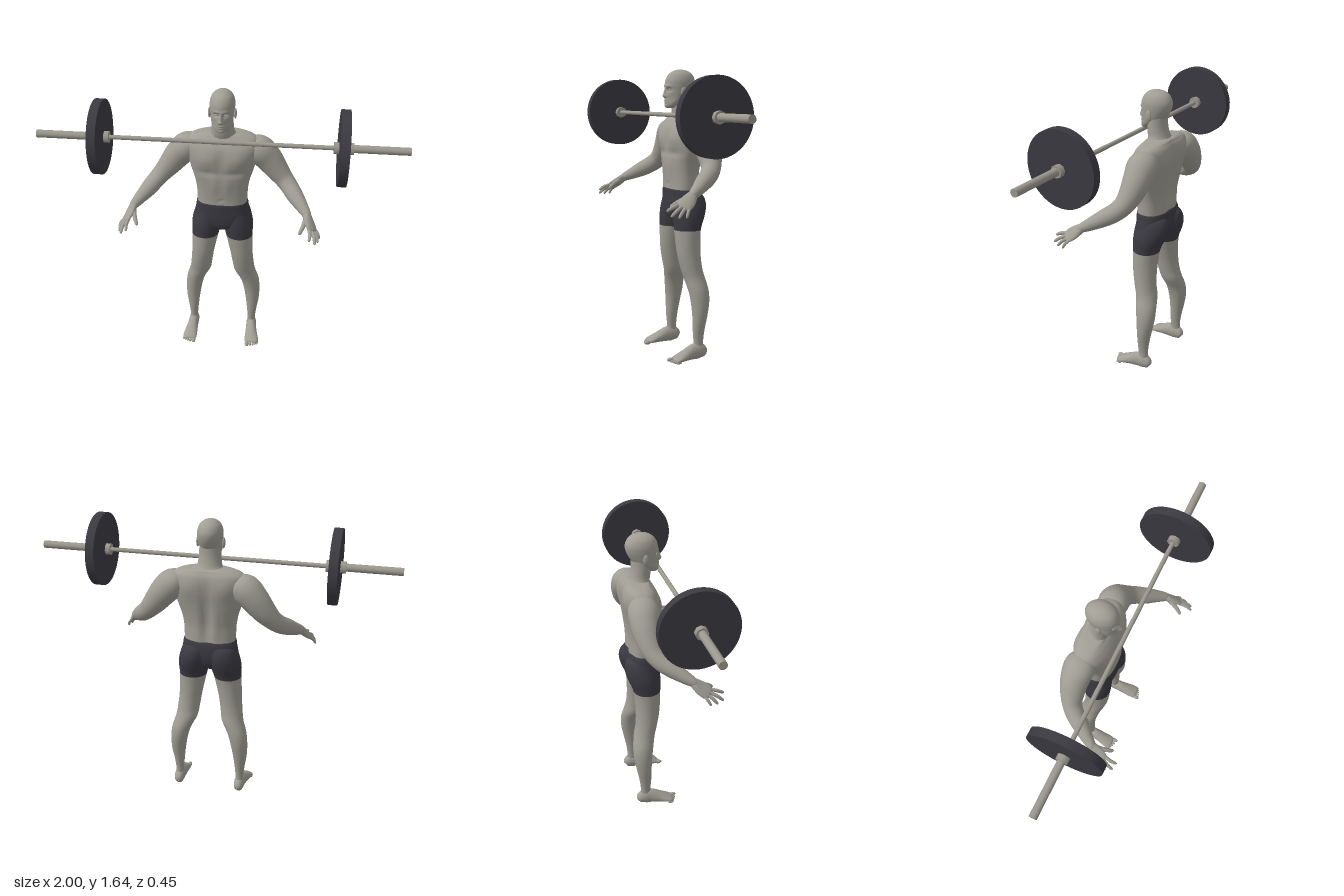
import * as THREE from 'three';

const skin = new THREE.MeshStandardMaterial({ name: 'skin', color: 0xa09e94 });
const cloth = new THREE.MeshStandardMaterial({ name: 'darkCloth', color: 0x3b3a42 });
const rubber = new THREE.MeshStandardMaterial({ name: 'darkRubber', color: 0x3b3a41 });
const steel = new THREE.MeshStandardMaterial({ name: 'steel', color: 0x9a978d });

// Smoothly interpolate a table of rows at position t (in row units)
function sample(rows, t) {
  const i = Math.min(Math.floor(t), rows.length - 2), f = t - i;
  const at = k => rows[Math.max(0, Math.min(rows.length - 1, k))];
  return rows[0].map((_, k) => {
    const a = at(i - 1)[k], b = at(i)[k], c = at(i + 1)[k], d = at(i + 2)[k];
    return b + 0.5 * f * (c - a + f * (2 * a - 5 * b + 4 * c - d + f * (3 * (b - c) + d - a)));
  });
}

// Closed skin over rings of points: ringPoint(i, angle) -> Vector3
function skinRings(count, segs, ringPoint) {
  const pos = [], idx = [];
  for (let i = 0; i <= count; i++) {
    for (let j = 0; j < segs; j++) pos.push(...ringPoint(i, (j / segs) * Math.PI * 2).toArray());
  }
  for (let i = 0; i < count; i++) {
    for (let j = 0; j < segs; j++) {
      const k = (j + 1) % segs, a = i * segs + j, b = i * segs + k;
      idx.push(a, a + segs, b, b, a + segs, b + segs);
    }
  }
  const geo = new THREE.BufferGeometry();
  geo.setAttribute('position', new THREE.Float32BufferAttribute(pos, 3));
  geo.setIndex(idx);
  geo.computeVertexNormals();
  return geo;
}

// Upright loft; rows are [y, centre x, half width, front z, back z]
function loft(rows, { segs = 32, step = 5, from = 0, to = rows.length - 1, power = 1, sculpt } = {}) {
  const n = (to - from) * step;
  const soft = c => Math.sign(c) * Math.abs(c) ** power;
  return skinRings(n, segs, (i, a) => {
    const [y, cx, hx, zf, zb] = sample(rows, from + i / step);
    const p = new THREE.Vector3(cx + hx * soft(Math.cos(a)), y, (zf + zb) / 2 + ((zf - zb) / 2) * soft(Math.sin(a)));
    if (sculpt) p.z += sculpt(p.x, p.y, Math.sin(a));
    return p;
  });
}

// Limb along a path; rows are [x, y, z, radius across, radius along ref]
function limb(rows, ref, segs = 20, step = 5) {
  const n = (rows.length - 1) * step;
  const point = t => new THREE.Vector3(...sample(rows, t).slice(0, 3));
  return skinRings(n, segs, (i, a) => {
    const t = i / step, r = sample(rows, t);
    const dir = point(Math.min(t + 0.05, rows.length - 1)).sub(point(Math.max(t - 0.05, 0))).normalize();
    const v = ref.clone().addScaledVector(dir, -ref.dot(dir)).normalize();
    const u = dir.clone().cross(v);
    const p = point(t).addScaledVector(u, r[3] * Math.cos(a)).addScaledVector(v, r[4] * Math.sin(a));
    p.y = Math.max(p.y, 0);
    return p;
  });
}

const bump = (x, y, cx, cy, sx, sy) => Math.exp(-(((x - cx) / sx) ** 2) - ((y - cy) / sy) ** 2);

// Chest, belly and back muscles
function sculptTorso(x, y, side) {
  const ax = Math.abs(x), front = Math.max(0, side), back = Math.max(0, -side);
  const f = 0.012 * bump(ax, y, 0.09, 1.255, 0.06, 0.05) - 0.008 * bump(x, y, 0, 1.25, 0.012, 0.09)
    - 0.007 * bump(ax, y, 0.08, 1.175, 0.08, 0.018) + 0.005 * bump(ax, y, 0.035, 1.1, 0.025, 0.06)
    - 0.006 * bump(x, y, 0, 1.0, 0.008, 0.008);
  const b = 0.02 * bump(x, y, 0, 1.15, 0.025, 0.17) - 0.01 * bump(ax, y, 0.1, 1.29, 0.05, 0.06)
    - 0.006 * bump(ax, y, 0.045, 1.05, 0.03, 0.1);
  return f * front + b * back;
}

// Brow, eye sockets, nose, lips and chin
function sculptFace(x, y, side) {
  const ax = Math.abs(x);
  const f = 0.012 * bump(x, y, 0, 1.512, 0.009, 0.024) + 0.013 * bump(x, y, 0, 1.492, 0.012, 0.01)
    + 0.005 * bump(ax, y, 0.011, 1.489, 0.006, 0.006) - 0.013 * bump(ax, y, 0.026, 1.527, 0.014, 0.01)
    + 0.005 * bump(ax, y, 0.024, 1.546, 0.02, 0.008) + 0.006 * bump(x, y, 0, 1.468, 0.017, 0.005)
    + 0.005 * bump(x, y, 0, 1.457, 0.015, 0.005) - 0.003 * bump(x, y, 0, 1.4625, 0.02, 0.002)
    - 0.006 * bump(ax, y, 0.042, 1.475, 0.014, 0.025) + 0.004 * bump(x, y, 0, 1.437, 0.015, 0.008);
  return f * Math.max(0, side) ** 0.5;
}

function ellipsoid(x, y, z, rx, ry, rz) {
  return new THREE.SphereGeometry(1, 20, 14).scale(rx, ry, rz).translate(x, y, z);
}

function mirrored(geo) {
  const g = geo.clone().scale(-1, 1, 1), ix = g.index;
  for (let i = 0; i < ix.count; i += 3) {
    const t = ix.getX(i);
    ix.setX(i, ix.getX(i + 1));
    ix.setX(i + 1, t);
  }
  g.computeVertexNormals();
  return g;
}

export function createModel() {
  const model = new THREE.Group();
  model.name = 'lifterWithBarbell';
  const add = (name, geo, mat) => {
    const m = new THREE.Mesh(geo, mat);
    m.name = name;
    model.add(m);
  };
  const pair = (name, geo, mat) => {
    add(name + 'Left', geo, mat);
    add(name + 'Right', mirrored(geo), mat);
  };

  // Torso, neck and head
  add('torso', loft([
    [0.955, 0, 0.141, -0.024, -0.188], [1.0, 0, 0.143, -0.025, -0.186], [1.06, 0, 0.146, -0.022, -0.186],
    [1.12, 0, 0.157, -0.018, -0.194], [1.18, 0, 0.176, -0.016, -0.204], [1.25, 0, 0.193, -0.016, -0.214],
    [1.31, 0, 0.203, -0.024, -0.216], [1.35, 0, 0.192, -0.045, -0.21], [1.372, 0, 0.16, -0.064, -0.198],
    [1.385, 0, 0.1, -0.075, -0.186], [1.392, 0, 0.01, -0.11, -0.14],
  ], { segs: 72, step: 6, power: 0.8, sculpt: sculptTorso }), skin);
  add('neck', loft([
    [1.33, 0, 0.11, -0.07, -0.2], [1.37, 0, 0.085, -0.062, -0.186], [1.4, 0, 0.066, -0.055, -0.17],
    [1.45, 0, 0.06, -0.05, -0.158], [1.51, 0, 0.056, -0.05, -0.155],
  ]), skin);
  add('head', loft([
    [1.424, 0, 0.004, -0.035, -0.045], [1.427, 0, 0.022, -0.017, -0.06], [1.437, 0, 0.037, -0.01, -0.08],
    [1.46, 0, 0.053, -0.009, -0.115], [1.49, 0, 0.061, -0.009, -0.152], [1.52, 0, 0.065, -0.01, -0.172],
    [1.55, 0, 0.068, -0.01, -0.184], [1.58, 0, 0.067, -0.014, -0.186], [1.61, 0, 0.056, -0.03, -0.172],
    [1.629, 0, 0.036, -0.055, -0.148], [1.637, 0, 0.016, -0.08, -0.122], [1.639, 0, 0.001, -0.1, -0.102],
  ], { segs: 96, step: 8, sculpt: sculptFace }), skin);
  pair('ear', ellipsoid(0.07, 1.512, -0.09, 0.008, 0.03, 0.017).rotateX(0), skin);
  pair('eye', ellipsoid(0.026, 1.527, -0.025, 0.012, 0.006, 0.008), skin);

  // Shorts: a pelvis block plus the upper part of each leg
  add('shortsPelvis', loft([
    [0.79, 0, 0.01, -0.08, -0.12], [0.8, 0, 0.06, -0.04, -0.16], [0.83, 0, 0.13, -0.025, -0.185],
    [0.88, 0, 0.158, -0.02, -0.2], [0.93, 0, 0.152, -0.02, -0.2], [0.968, 0, 0.145, -0.021, -0.192],
    [0.97, 0, 0.13, -0.03, -0.18],
  ], { segs: 48, power: 0.85 }), cloth);
  const legRows = [
    [0.03, 0.184, 0.024, -0.105, -0.17], [0.1, 0.182, 0.023, -0.105, -0.163], [0.17, 0.183, 0.03, -0.1, -0.17],
    [0.25, 0.184, 0.041, -0.098, -0.185], [0.33, 0.178, 0.049, -0.092, -0.199], [0.4, 0.164, 0.055, -0.082, -0.2],
    [0.47, 0.136, 0.062, -0.066, -0.188], [0.53, 0.126, 0.063, -0.05, -0.175], [0.62, 0.115, 0.066, -0.033, -0.17],
    [0.742, 0.1, 0.078, -0.025, -0.178], [0.82, 0.09, 0.088, -0.022, -0.206], [0.88, 0.082, 0.083, -0.028, -0.219],
    [0.93, 0.075, 0.07, -0.04, -0.206], [0.955, 0.07, 0.04, -0.07, -0.17],
  ];
  pair('leg', loft(legRows, { to: 9 }), skin);
  pair('shortsLeg', loft(legRows, { from: 9 }), cloth);

  // Feet and toes
  pair('foot', limb([
    [0.18, 0.03, -0.181, 0.004, 0.004], [0.181, 0.034, -0.174, 0.022, 0.028], [0.183, 0.046, -0.14, 0.03, 0.046],
    [0.184, 0.046, -0.105, 0.031, 0.046], [0.188, 0.034, -0.055, 0.036, 0.034], [0.193, 0.022, -0.01, 0.042, 0.022],
    [0.195, 0.015, 0.018, 0.039, 0.014], [0.195, 0.013, 0.026, 0.02, 0.006],
  ], new THREE.Vector3(0, 1, 0)), skin);
  for (let i = 0; i < 5; i++) {
    const r = i ? 0.0085 - i * 0.0004 : 0.012;
    pair('toe' + (i + 1), ellipsoid([0.167, 0.188, 0.204, 0.218, 0.23][i], r, 0.034 - i * 0.006, r, r, 0.021 - i * 0.001), skin);
  }

  // Arms
  pair('arm', limb([
    [0.13, 1.32, -0.13, 0.015, 0.015], [0.155, 1.312, -0.133, 0.055, 0.065], [0.2, 1.283, -0.138, 0.08, 0.083],
    [0.25, 1.232, -0.142, 0.077, 0.077], [0.3, 1.168, -0.136, 0.066, 0.066], [0.345, 1.115, -0.12, 0.054, 0.054],
    [0.38, 1.08, -0.09, 0.049, 0.05], [0.413, 1.05, -0.045, 0.046, 0.046], [0.45, 1.02, 0.005, 0.036, 0.036],
    [0.48, 0.995, 0.05, 0.026, 0.026], [0.487, 0.985, 0.064, 0.02, 0.018],
  ], new THREE.Vector3(0, 0, 1), 28, 6), skin);

  // Hands: flat palm, four spread fingers and a thumb
  const palmNormal = new THREE.Vector3(0.72, 0.65, 0.23).normalize();
  pair('palm', limb([
    [0.47, 1.003, 0.036, 0.02, 0.015], [0.483, 0.991, 0.056, 0.027, 0.021], [0.498, 0.966, 0.087, 0.039, 0.018],
    [0.512, 0.945, 0.115, 0.041, 0.014], [0.519, 0.934, 0.13, 0.032, 0.01], [0.521, 0.931, 0.134, 0.006, 0.003],
  ], palmNormal), skin);
  const fingers = {
    thumb: [[0.478, 0.982, 0.075], [0.445, 0.93, 0.167], 0.012],
    indexFinger: [[0.498, 0.95, 0.135], [0.5, 0.917, 0.212], 0.0095],
    middleFinger: [[0.51, 0.942, 0.127], [0.533, 0.892, 0.202], 0.0095],
    ringFinger: [[0.52, 0.936, 0.113], [0.549, 0.885, 0.166], 0.009],
    littleFinger: [[0.528, 0.932, 0.097], [0.557, 0.885, 0.127], 0.008],
  };
  for (const [name, [base, tip, r]] of Object.entries(fingers)) {
    const a = new THREE.Vector3(...base), b = new THREE.Vector3(...tip);
    const rows = [[0, 1], [0.5, 1], [0.85, 0.85], [0.97, 0.55], [1, 0.05]].map(([t, k]) => {
      const p = a.clone().lerp(b, t).addScaledVector(palmNormal, 0.03 * t * (1 - t));
      return [p.x, p.y, p.z, r * k, r * k];
    });
    pair(name, limb(rows, palmNormal, 12, 3), skin);
  }

  // Barbell: bar, and on each side a sleeve, plate and two collars
  const rod = (x0, x1, r, sides = 32) =>
    new THREE.CylinderGeometry(r, r, x1 - x0, sides).rotateZ(-Math.PI / 2).translate((x0 + x1) / 2, 1.39, 0.02);
  add('bar', rod(-0.62, 0.62, 0.012), steel);
  for (const [side, s] of [['Left', 1], ['Right', -1]]) {
    const part = (name, a, b, r, mat, sides) => add(name + side, rod(Math.min(s * a, s * b), Math.max(s * a, s * b), r, sides), mat);
    part('sleeve', 0.6, 1, 0.021, steel);
    part('innerCollar', 0.6, 0.628, 0.033, steel, 8);
    part('plate', 0.627, 0.675, 0.203, rubber, 64);
    part('outerCollar', 0.674, 0.705, 0.033, steel, 8);
  }
  return model;
}
